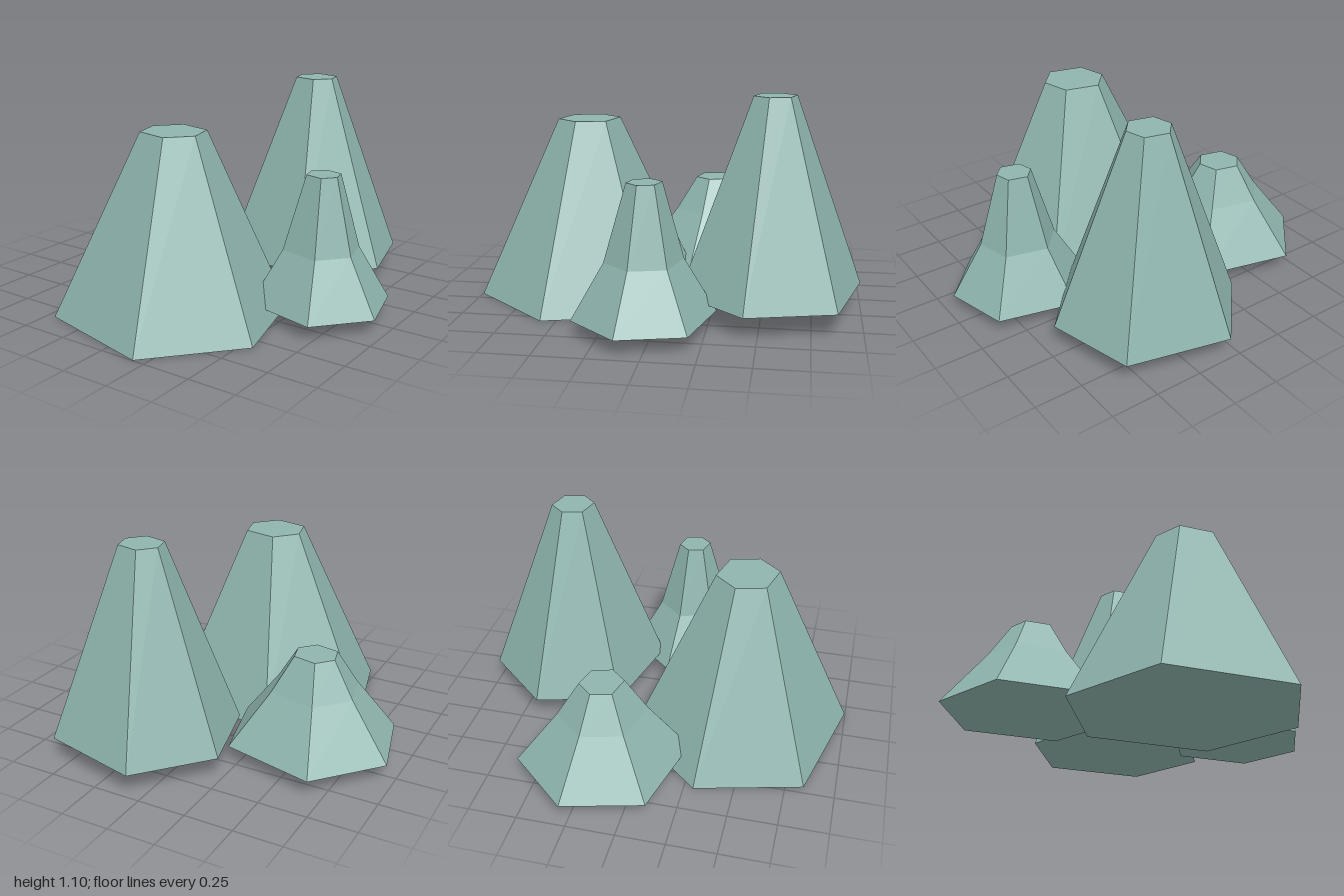
import * as THREE from 'three';

const material = new THREE.MeshStandardMaterial({ color: 0x8fb5ae, flatShading: true });

// Shared slightly squashed hexagon, as corner angles in degrees
const TURN = 13.6;
const CORNERS = [0, 56.3, 123.7, 180, 236.3, 303.7].map(a => THREE.MathUtils.degToRad(a + TURN));

// Tapered six-sided rock; rings run bottom to top as [y, radius, x, z]
function rock(name, rings) {
  const n = CORNERS.length;
  const positions = [];
  const index = [];
  for (const [y, r, x, z] of rings) {
    for (const a of CORNERS) positions.push(x + r * Math.cos(a), y, z + r * Math.sin(a));
  }
  // Sides
  for (let k = 0; k < rings.length - 1; k++) {
    for (let i = 0; i < n; i++) {
      const a = k * n + i;
      const b = k * n + (i + 1) % n;
      index.push(a, a + n, b, b, a + n, b + n);
    }
  }
  // Flat bottom and top
  const top = (rings.length - 1) * n;
  for (let i = 1; i < n - 1; i++) {
    index.push(0, i, i + 1);
    index.push(top, top + i + 1, top + i);
  }
  let geometry = new THREE.BufferGeometry();
  geometry.setAttribute('position', new THREE.Float32BufferAttribute(positions, 3));
  geometry.setIndex(index);
  geometry = geometry.toNonIndexed();
  geometry.computeVertexNormals();
  const mesh = new THREE.Mesh(geometry, material);
  mesh.name = name;
  return mesh;
}

export function createModel() {
  const group = new THREE.Group();
  group.name = 'rockCluster';
  group.add(
    rock('frontRock', [[0, 0.596, -0.02, 0.438], [0.94, 0.164, 0, 0.437]]),
    rock('tallBackRock', [[0.115, 0.482, 0.23, -0.547], [1.1, 0.112, 0.23, -0.547]]),
    // The two smaller rocks flare out towards the foot
    rock('smallLeftRock', [[0.075, 0.357, 0.612, 0.043], [0.35, 0.195, 0.612, 0.043], [0.73, 0.087, 0.614, 0.04]]),
    rock('lowRightRock', [[0.085, 0.446, -0.529, -0.187], [0.36, 0.229, -0.53, -0.185], [0.54, 0.113, -0.53, -0.184]]),
  );
  return group;
}
